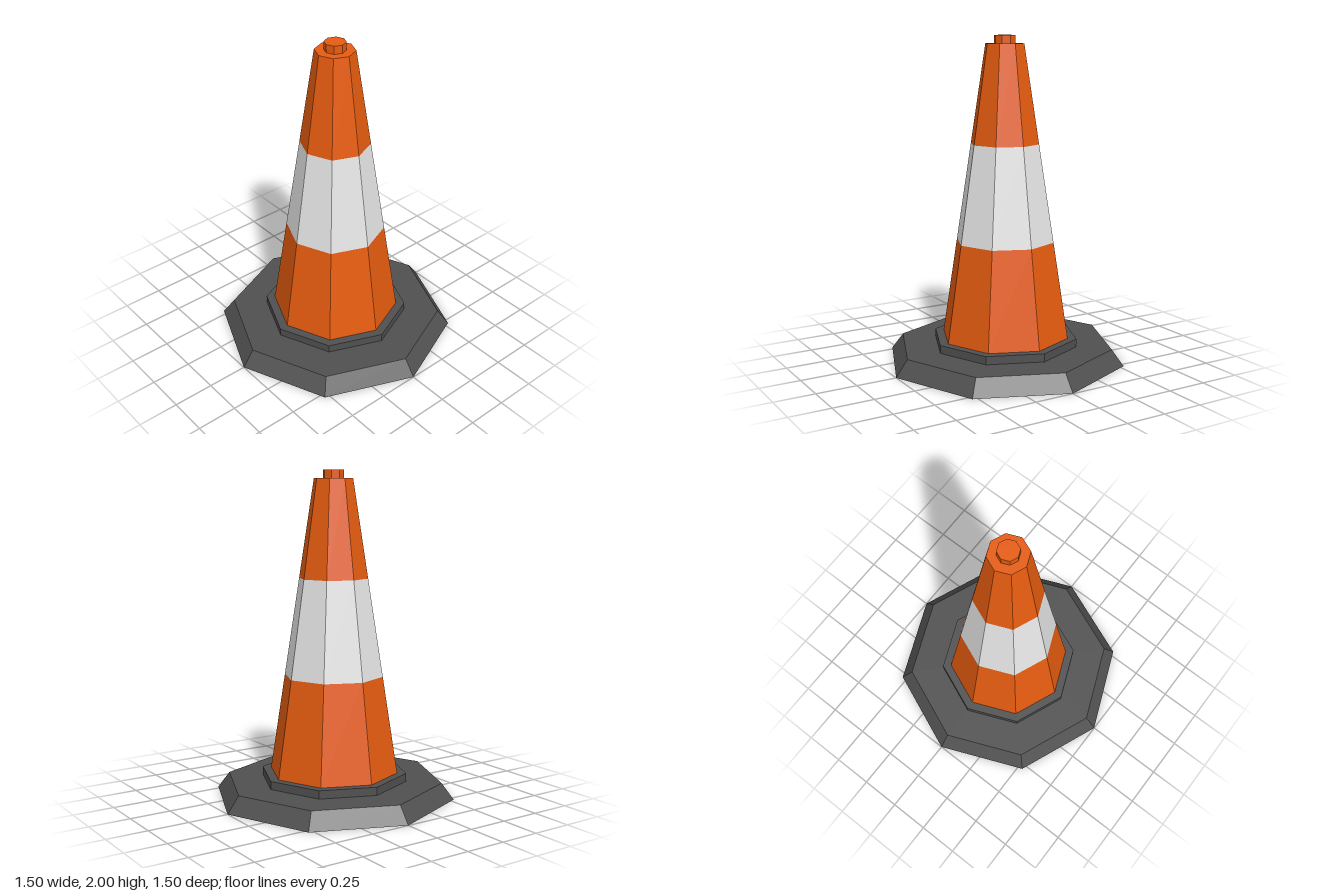
import * as THREE from 'three';

const SIDES = 8;

function material(name, color) {
  const m = new THREE.MeshStandardMaterial({ color, flatShading: true });
  m.name = name;
  return m;
}

export function createModel() {
  const orange = material('orange', 0xe65c10);
  const white = material('white', 0xe6e6e6);
  const rubber = material('darkGrey', 0x505050);

  const group = new THREE.Group();
  group.name = 'trafficCone';

  // Eight-sided tapered section between heights y0 and y1
  function section(name, mat, y0, y1, r0, r1, open = false) {
    const geometry = new THREE.CylinderGeometry(r1, r0, y1 - y0, SIDES, 1, open);
    geometry.translate(0, (y0 + y1) / 2, 0);
    const mesh = new THREE.Mesh(geometry, mat);
    mesh.name = name;
    group.add(mesh);
  }

  // Rubber foot
  section('base', rubber, 0, 0.1, 0.75, 0.675);
  section('collar', rubber, 0.1, 0.15, 0.455, 0.455);

  // Cone body, one straight taper split into colour bands
  const radiusAt = (y) => THREE.MathUtils.mapLinear(y, 0.15, 1.95, 0.4, 0.12);
  const band = (name, mat, y0, y1, open) =>
    section(name, mat, y0, y1, radiusAt(y0), radiusAt(y1), open);
  band('lowerBody', orange, 0.15, 0.75, true);
  band('reflectiveBand', white, 0.75, 1.35, true);
  band('upperBody', orange, 1.35, 1.95, false);

  // Tip
  section('topKnob', orange, 1.95, 2, 0.065, 0.065);

  return group;
}
